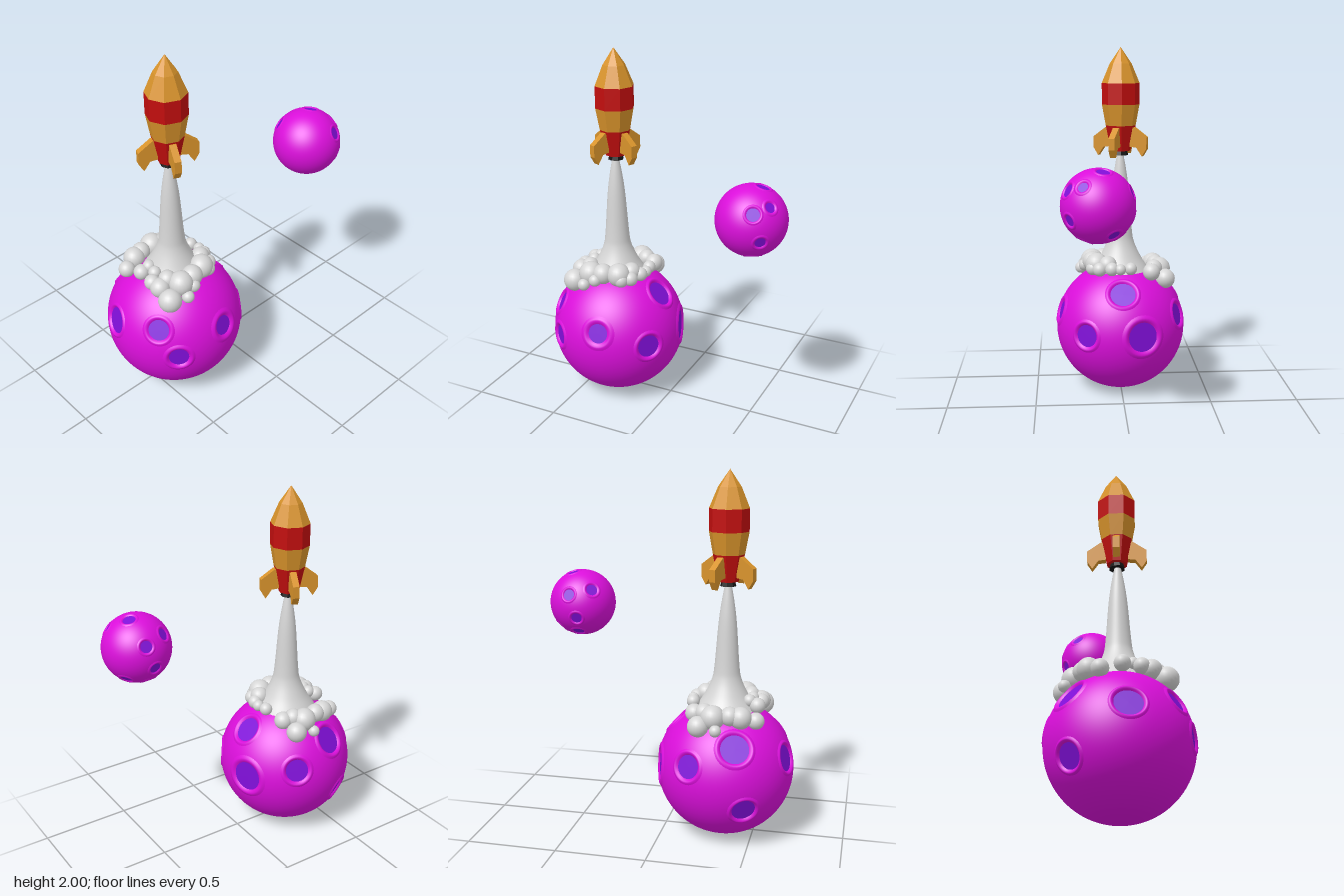
import * as THREE from 'three';

const paint = (name, color, extra = {}) => {
  const m = new THREE.MeshStandardMaterial({ color, ...extra });
  m.name = name;
  return m;
};

export function createModel() {
  const magenta = paint('planet magenta', 0xdb0fdb);
  const purple = paint('crater purple', 0x800fd8);
  const gold = paint('rocket gold', 0xd8932b, { flatShading: true });
  const red = paint('rocket red', 0xc20e0e, { flatShading: true });
  const smoke = paint('smoke grey', 0xd6d6d6);
  const black = paint('nozzle black', 0x141414, { flatShading: true });

  const model = new THREE.Group();
  const add = (parent, name, geometry, material) => {
    const mesh = new THREE.Mesh(geometry, material);
    mesh.name = name;
    parent.add(mesh);
    return mesh;
  };

  // Planet: sphere sunk under each crater, then a soft rim and flat floor on top.
  // Crater: [direction x, y, z, floor angle, rim angle]
  function planet(name, R, center, craters) {
    const group = new THREE.Group();
    group.name = name;
    group.position.set(...center);
    const ball = new THREE.SphereGeometry(R, 160, 80);
    const list = craters.map(([x, y, z, floor, rim]) => ({
      dir: new THREE.Vector3(x, y, z).normalize(), floor, rim,
    }));
    const pos = ball.attributes.position;
    const v = new THREE.Vector3();
    for (let i = 0; i < pos.count; i++) {
      v.fromBufferAttribute(pos, i);
      if (list.some((c) => v.angleTo(c.dir) < (c.floor + c.rim) / 2)) {
        v.multiplyScalar(0.85);
        pos.setXYZ(i, v.x, v.y, v.z);
      }
    }
    add(group, 'planetSurface', ball, magenta);

    for (const { dir, floor, rim } of list) {
      const crater = new THREE.Group();
      crater.name = 'crater';
      crater.quaternion.setFromUnitVectors(new THREE.Vector3(0, 1, 0), dir);
      const at = (t, s) => {
        const a = floor + (rim - floor) * t;
        return new THREE.Vector2(R * s * Math.sin(a), R * s * Math.cos(a));
      };
      const floorY = R * (Math.cos(floor) - 0.025);
      const floorR = R * Math.sin(floor);
      const profile = [at(1.4, 0.996), at(1, 1.006), at(0.75, 1.015), at(0.5, 1.013),
        at(0.25, 0.997), new THREE.Vector2(floorR, floorY)];
      add(crater, 'craterRim', new THREE.LatheGeometry(profile, 36), magenta);
      const disc = new THREE.CircleGeometry(floorR, 36).rotateX(-Math.PI / 2);
      add(crater, 'craterFloor', disc, purple).position.y = floorY;
      group.add(crater);
    }
    model.add(group);
  }

  const cx = -0.337, cy = 0.378, R = 0.377;
  planet('largePlanet', R, [cx, cy, 0], [
    [-0.6, 0.03, 0.8, 0.145, 0.22],
    [0.15, 0.29, 0.945, 0.145, 0.24],
    [-0.74, 0.46, 0.52, 0.15, 0.22],
    [0.82, 0.05, 0.57, 0.17, 0.24],
    [0.73, 0.68, 0, 0.19, 0.26],
    [0.95, 0.05, -0.3, 0.225, 0.32],
    [-0.26, 0.55, -0.79, 0.205, 0.28],
    [-0.92, 0.27, -0.23, 0.19, 0.25],
    [0.41, 0.26, -0.88, 0.17, 0.24],
    [-0.41, -0.345, -0.845, 0.17, 0.23],
  ]);
  planet('smallPlanet', 0.186, [0.527, 1.235, 0.16], [
    [0.34, 0.48, 0.81, 0.18, 0.26],
    [0.56, -0.3, 0.77, 0.15, 0.24],
    [0.22, -0.9, 0.38, 0.18, 0.26],
    [0.67, 0.6, 0.41, 0.14, 0.23],
    [0.58, -0.7, -0.4, 0.16, 0.25],
    [0.26, 0.95, -0.13, 0.18, 0.26],
    [-0.51, 0.52, -0.68, 0.17, 0.26],
    [0.16, 0.38, -0.91, 0.17, 0.25],
    [-0.08, -0.33, -0.94, 0.16, 0.24],
    [-0.02, -0.82, -0.57, 0.17, 0.25],
  ]);

  // Exhaust trail flaring onto the planet
  const trail = new THREE.SplineCurve([
    [0.19, 0.68], [0.155, 0.735], [0.115, 0.8], [0.08, 0.88], [0.067, 0.96],
    [0.05, 1.18], [0.035, 1.3], [0.018, 1.395],
  ].map(([x, y]) => new THREE.Vector2(x, y))).getPoints(40);
  add(model, 'exhaustTrail', new THREE.LatheGeometry(trail, 40), smoke).position.set(cx, 0, 0);

  // Smoke puffs resting on the planet: [x, z, radius]
  const puffs = [
    [-0.523, -0.17, 0.046], [-0.446, -0.2, 0.06], [-0.39, -0.21, 0.052], [-0.3, -0.225, 0.066],
    [-0.227, -0.255, 0.057], [-0.193, -0.172, 0.05], [-0.325, -0.285, 0.032], [-0.25, -0.19, 0.05],
    [-0.515, -0.05, 0.043], [-0.47, -0.04, 0.035], [-0.523, 0.05, 0.043], [-0.48, 0.02, 0.035],
    [-0.162, -0.05, 0.036], [-0.152, 0.01, 0.032], [-0.162, 0.058, 0.039], [-0.208, 0.08, 0.052],
    [-0.255, 0.142, 0.066], [-0.342, 0.165, 0.058], [-0.42, 0.165, 0.068], [-0.515, 0.185, 0.064],
    [-0.515, 0.105, 0.054], [-0.43, 0.232, 0.034], [-0.46, 0.1, 0.048], [-0.228, 0.165, 0.04],
    [-0.188, 0.127, 0.04], [-0.37, 0.21, 0.035],
  ];
  const puffGroup = new THREE.Group();
  puffGroup.name = 'smokePuffs';
  for (const [x, z, r] of puffs) {
    const d = Math.hypot(x - cx, z);
    const y = cy + Math.sqrt(R * R - d * d) + 0.045;
    add(puffGroup, 'smokePuff', new THREE.SphereGeometry(r, 20, 14), smoke).position.set(x, y, z);
  }
  model.add(puffGroup);

  // Rocket: eight-sided hull in stacked bands [name, y low, r low, y high, r high, material]
  const rocket = new THREE.Group();
  rocket.name = 'rocket';
  rocket.position.set(cx, 0, -0.003);
  const bands = [
    ['noseTip', 1.91, 0.062, 2.0, 0, gold],
    ['noseBase', 1.8, 0.108, 1.91, 0.062, gold],
    ['upperRedBand', 1.68, 0.108, 1.8, 0.108, red],
    ['goldHull', 1.56, 0.086, 1.68, 0.108, gold],
    ['lowerRedBand', 1.415, 0.056, 1.56, 0.086, red],
    ['nozzle', 1.39, 0.044, 1.416, 0.036, black],
  ];
  for (const [name, y0, r0, y1, r1, material] of bands) {
    const open = name !== 'nozzle' && name !== 'lowerRedBand';
    const geometry = new THREE.CylinderGeometry(r1, r0, y1 - y0, 8, 1, open);
    add(rocket, name, geometry, material).position.y = (y0 + y1) / 2;
  }

  // Four swept fins set on the hull faces
  const finShape = new THREE.Shape([
    [0.06, 1.44], [0.1, 1.435], [0.133, 1.386], [0.16, 1.43], [0.16, 1.495], [0.085, 1.55], [0.06, 1.55],
  ].map(([x, y]) => new THREE.Vector2(x, y)));
  const finGeometry = new THREE.ExtrudeGeometry(finShape, { depth: 0.036, bevelEnabled: false });
  finGeometry.translate(0, 0, -0.018);
  for (let i = 0; i < 4; i++) {
    add(rocket, 'fin', finGeometry, gold).rotation.y = -Math.PI / 8 + i * Math.PI / 2;
  }
  model.add(rocket);
  return model;
}
